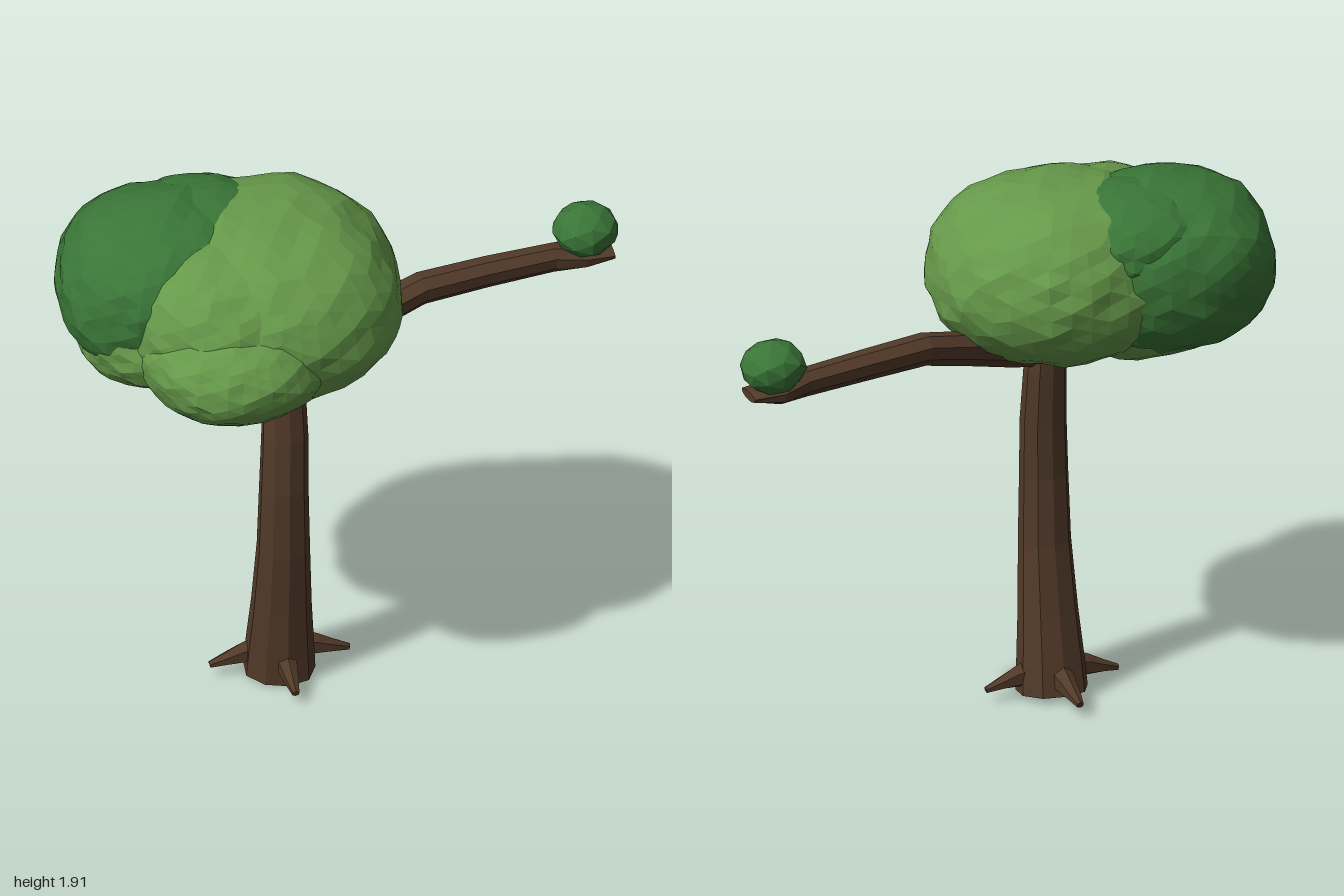
import * as THREE from 'three';

const V = (x, y, z) => new THREE.Vector3(x, y, z);
const material = (color) => new THREE.MeshStandardMaterial({ color, flatShading: true, roughness: 0.9 });

// Repeatable surface wobble, about -1..1, with a fine term for uneven facets
const wobble = (p, s) =>
  (Math.sin(p.x * 5.1 + s) * Math.cos(p.y * 4.3 - s * 2) + Math.sin(p.z * 6.2 + s * 3 + p.y * 3)
  + Math.sin(p.x * 11 + p.z * 9 + s) * Math.cos(p.y * 12 + s)
  + 0.6 * Math.sin(p.x * 31 + p.y * 17) * Math.sin(p.z * 29 + p.y * 23 + s)) / 3;

// Closed limb through sections [x, y, z, sideways radius, other radius]
function limb(sections, sides, ref) {
  const pts = sections.map(([x, y, z]) => V(x, y, z));
  const pos = [], index = [], last = pts.length - 1;
  pts.forEach((p, i) => {
    const t = pts[Math.min(i + 1, last)].clone().sub(pts[Math.max(i - 1, 0)]).normalize();
    const u = ref.clone().cross(t).normalize();
    const v = t.clone().cross(u);
    const [, , , ru, rv = ru] = sections[i];
    for (let j = 0; j < sides; j++) {
      const a = ((j + 0.5) / sides) * Math.PI * 2;
      const k = 1 + 0.04 * Math.sin(j * 2.4 + 1);
      pos.push(...p.clone().addScaledVector(u, Math.cos(a) * ru * k).addScaledVector(v, Math.sin(a) * rv * k).toArray());
    }
  });
  pos.push(...pts[0].toArray(), ...pts[last].toArray());
  const c0 = pts.length * sides, c1 = c0 + 1;
  for (let j = 0; j < sides; j++) {
    const n = (j + 1) % sides;
    for (let i = 0; i < last; i++) {
      const a = i * sides + j, b = i * sides + n;
      index.push(a, b, a + sides, b, b + sides, a + sides);
    }
    index.push(c0, n, j, c1, last * sides + j, last * sides + n);
  }
  const g = new THREE.BufferGeometry();
  g.setAttribute('position', new THREE.Float32BufferAttribute(pos, 3));
  g.setIndex(index);
  g.computeVertexNormals();
  return g;
}

// Lumpy, slightly boxy ellipsoid with facets
function clump(radii, detail, amount, seed, power) {
  const g = new THREE.IcosahedronGeometry(1, detail);
  const a = g.attributes.position, p = V(0, 0, 0);
  for (let i = 0; i < a.count; i++) {
    p.fromBufferAttribute(a, i).normalize();
    const size = Math.pow(Math.abs(p.x) ** power + Math.abs(p.y) ** power + Math.abs(p.z) ** power, -1 / power);
    p.multiplyScalar(size * (1 + amount * wobble(p, seed)));
    a.setXYZ(i, p.x * radii[0], p.y * radii[1], p.z * radii[2]);
  }
  g.computeVertexNormals();
  return g;
}

export function createModel() {
  const tree = new THREE.Group();
  tree.name = 'tree';
  const bark = material(0x523a29), lightLeaf = material(0x66994a), darkLeaf = material(0x3a7637);
  const add = (name, geometry, mat, at = [0, 0, 0]) => {
    const mesh = new THREE.Mesh(geometry, mat);
    mesh.name = name;
    mesh.position.set(...at);
    tree.add(mesh);
    return mesh;
  };

  // Curved trunk
  add('trunk', limb([
    [-0.24, 0.018, -0.052, 0.128], [-0.24, 0.12, -0.042, 0.121], [-0.24, 0.3, -0.02, 0.107],
    [-0.24, 0.55, 0.008, 0.094], [-0.24, 0.8, 0.015, 0.087], [-0.235, 1.0, 0.008, 0.083],
    [-0.235, 1.2, -0.008, 0.076], [-0.24, 1.42, -0.03, 0.06],
  ], 10, V(0, 0, 1)), bark);

  // Four roots around the base
  for (let i = 0; i < 4; i++) {
    const root = add('root', limb([
      [0.06, 0.09, 0, 0.045, 0.06], [0.13, 0.08, 0, 0.034, 0.04],
      [0.19, 0.065, 0, 0.025, 0.023], [0.245, 0.05, 0, 0.013, 0.012],
    ], 6, V(0, 1, 0)), bark, [-0.24, 0, -0.055]);
    root.rotation.y = i * Math.PI / 2;
  }

  // Side branch with a flattened tip
  add('branch', limb([
    [-0.25, 1.26, 0, 0.06, 0.06], [-0.1, 1.3, -0.04, 0.066, 0.062], [0.1, 1.365, -0.105, 0.063, 0.06],
    [0.28, 1.413, -0.15, 0.06, 0.057], [0.52, 1.414, -0.195, 0.056, 0.054],
    [0.76, 1.41, -0.235, 0.052, 0.05], [0.87, 1.4, -0.25, 0.075, 0.04], [0.975, 1.402, -0.25, 0.06, 0.016],
  ], 8, V(0, 1, 0)), bark);
  add('branchLeaves', clump([0.117, 0.095, 0.11], 1, 0.08, 2, 2), darkLeaf, [0.885, 1.497, -0.252]);

  // Overlapping light crown clumps, the largest leaning forward
  const main = add('mainCrown', clump([0.45, 0.325, 0.455], 6, 0.05, 1, 2.15), lightLeaf, [-0.28, 1.573, -0.02]);
  main.rotation.x = 0.12;
  add('middleCrown', clump([0.39, 0.3, 0.37], 6, 0.05, 5, 2.1), lightLeaf, [-0.43, 1.56, 0.04]);
  add('frontCrown', clump([0.33, 0.215, 0.34], 6, 0.05, 7, 2.1), lightLeaf, [-0.45, 1.475, 0.17]);
  add('lowerCrown', clump([0.38, 0.205, 0.32], 6, 0.05, 3, 2.25), lightLeaf, [-0.57, 1.465, -0.09]);

  // Darker clumps at the back and top
  add('backCrown', clump([0.385, 0.31, 0.37], 6, 0.05, 4, 2.2), darkLeaf, [-0.612, 1.595, -0.145]);
  add('topCrown', clump([0.28, 0.205, 0.28], 5, 0.05, 6, 2.2), darkLeaf, [-0.48, 1.7, -0.18]);
  return tree;
}
